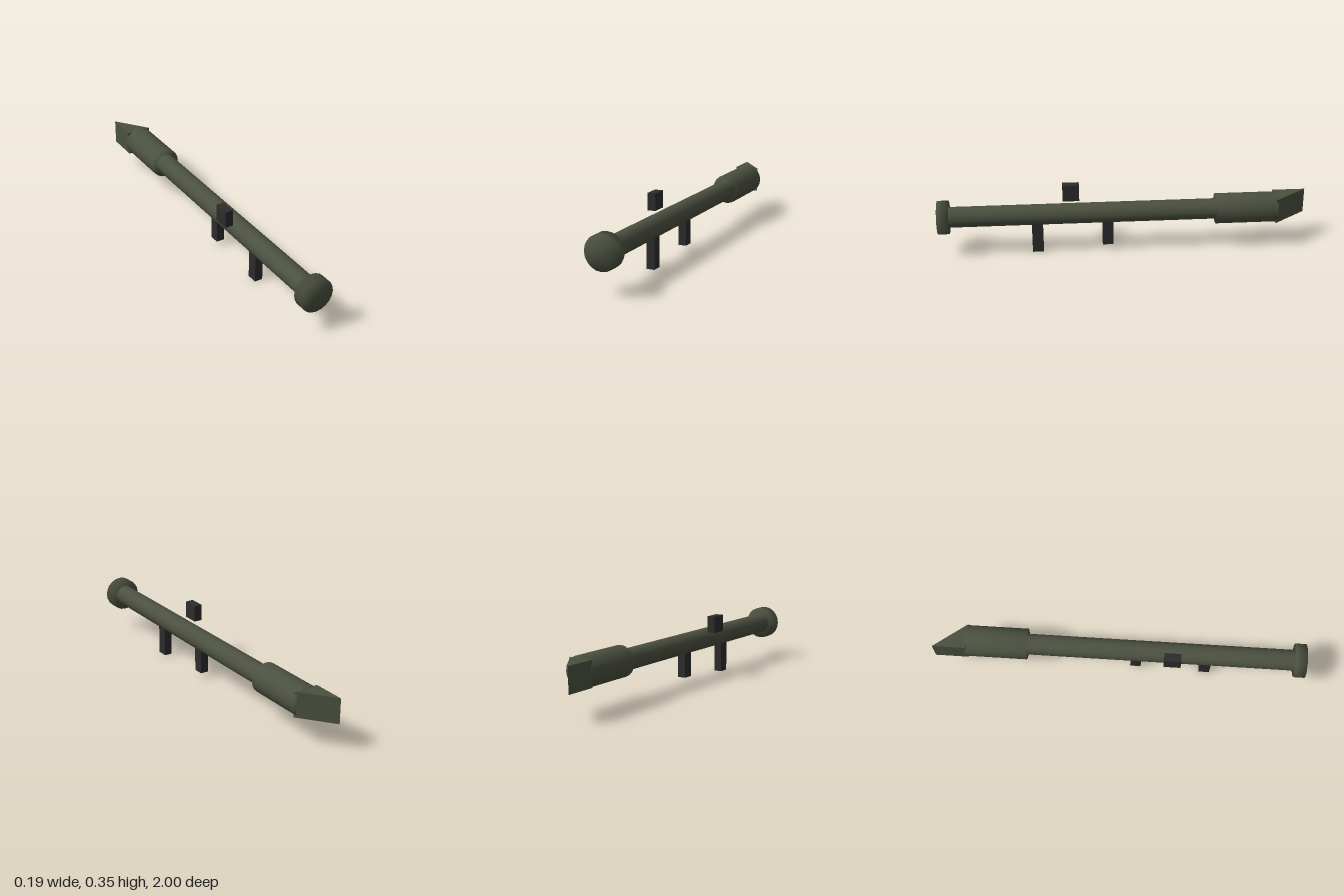
import * as THREE from 'three';
import { mergeVertices } from 'three/addons/utils/BufferGeometryUtils.js';

const olive = new THREE.MeshStandardMaterial({ name: 'olive green', color: 0x4b5040 });
const black = new THREE.MeshStandardMaterial({ name: 'matte black', color: 0x2c2c2c });

const AXIS_X = 0.002;
const AXIS_Y = 0.215;

export function createModel() {
  const model = new THREE.Group();
  model.name = 'launcher';

  const add = (name, geometry, material) => {
    const mesh = new THREE.Mesh(geometry, material);
    mesh.name = name;
    model.add(mesh);
    return mesh;
  };

  // Cylinder along z whose normals run smoothly over its rims
  const barrel = (name, radius, zBack, zFront) => {
    let geometry = new THREE.CylinderGeometry(radius, radius, zFront - zBack, 20);
    geometry.deleteAttribute('normal');
    geometry.deleteAttribute('uv');
    geometry = mergeVertices(geometry, 1e-4);
    geometry.computeVertexNormals();
    geometry.rotateX(Math.PI / 2);
    add(name, geometry, olive).position.set(AXIS_X, AXIS_Y, (zBack + zFront) / 2);
  };

  // Box given by its extents
  const block = (name, [x0, x1], [y0, y1], [z0, z1]) => {
    const geometry = new THREE.BoxGeometry(x1 - x0, y1 - y0, z1 - z0);
    add(name, geometry, black).position.set((x0 + x1) / 2, (y0 + y1) / 2, (z0 + z1) / 2);
  };

  // Tube, muzzle ring and rear sleeve
  barrel('tube', 0.056, -0.52, 0.95);
  barrel('muzzleCap', 0.091, 0.94, 1);
  barrel('rearSleeve', 0.083, -0.83, -0.497);

  // Triangular blast deflector, drawn in plan and extruded upwards
  const plan = new THREE.Shape([
    new THREE.Vector2(-0.067, 1),
    new THREE.Vector2(-0.067, 0.82),
    new THREE.Vector2(0.07, 0.82),
  ]);
  const wedge = new THREE.ExtrudeGeometry(plan, { depth: 0.137, bevelEnabled: false });
  wedge.rotateX(-Math.PI / 2);
  add('blastDeflector', wedge, olive).position.y = 0.146;

  // Grips under the tube and the sight beside it
  block('frontGrip', [-0.02, 0.025], [0, 0.165], [0.44, 0.5]);
  block('rearGrip', [-0.02, 0.025], [0.03, 0.165], [0.06, 0.118]);
  block('sight', [-0.097, -0.052], [0.26, 0.352], [0.24, 0.33]);

  return model;
}
